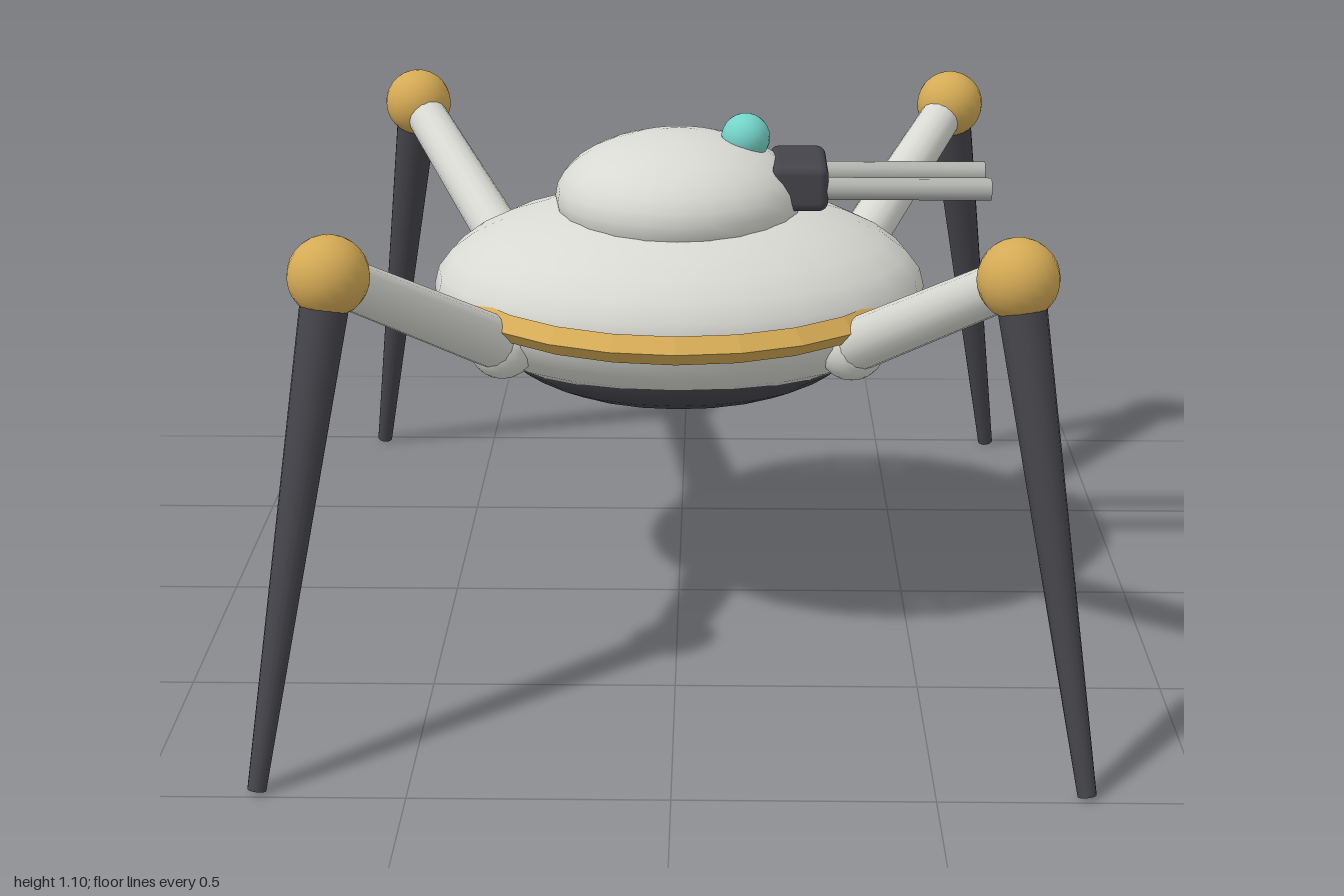
import * as THREE from 'three';
import { RoundedBoxGeometry } from 'three/addons/geometries/RoundedBoxGeometry.js';

function material(name, color, extra = {}) {
  const m = new THREE.MeshStandardMaterial({ color, ...extra });
  m.name = name;
  return m;
}

function part(parent, name, geometry, mat, x = 0, y = 0, z = 0) {
  const mesh = new THREE.Mesh(geometry, mat);
  mesh.name = name;
  mesh.position.set(x, y, z);
  parent.add(mesh);
  return mesh;
}

const ellipsoid = (rx, ry, rz) => new THREE.SphereGeometry(1, 24, 16).scale(rx, ry, rz);

// Tapered rod running from point a (radius ra) to point b (radius rb)
function rod(parent, name, mat, a, b, ra, rb, sides = 16) {
  const dir = b.clone().sub(a);
  const mesh = part(parent, name, new THREE.CylinderGeometry(rb, ra, dir.length(), sides), mat);
  mesh.position.copy(a).add(b).multiplyScalar(0.5);
  mesh.quaternion.setFromUnitVectors(new THREE.Vector3(0, 1, 0), dir.normalize());
  return mesh;
}

export function createModel() {
  const model = new THREE.Group();
  model.name = 'walker';

  const shell = material('pale shell', 0xd8d9d3);
  const dark = material('dark metal', 0x45444a);
  const gold = material('gold', 0xd4aa55);
  const goldTrim = gold.clone();
  goldTrim.flatShading = true;
  const steel = material('barrel steel', 0xb2b4b0);
  const cyan = material('sensor cyan', 0x74d4c8);

  // Hull, belly and turret dome
  part(model, 'hull', ellipsoid(0.53, 0.21, 0.43), shell, 0, 0.715, 0);
  part(model, 'belly', ellipsoid(0.4, 0.145, 0.355), dark, 0, 0.62, 0);
  part(model, 'turretDome', ellipsoid(0.265, 0.14, 0.265), shell, 0, 0.915, 0);

  // Diamond-section ring that surfaces at the front and back of the hull
  const ring = new THREE.TorusGeometry(0.48, 0.03, 4, 24).rotateX(Math.PI / 2);
  part(model, 'trimRing', ring, goldTrim, 0, 0.72, 0);

  // Twin gun and sensor, aimed along +x
  part(model, 'gunMount', new RoundedBoxGeometry(0.12, 0.1, 0.21, 3, 0.02), dark, 0.256, 0.955, 0);
  for (const z of [-0.072, 0.072]) {
    rod(model, 'gunBarrel', steel,
      new THREE.Vector3(0.28, 0.95, z), new THREE.Vector3(0.66, 0.95, z), 0.024, 0.024, 10);
  }
  part(model, 'sensor', new THREE.SphereGeometry(0.052, 20, 14), cyan, 0.142, 1.043, 0);

  // Four mirrored legs
  for (const sx of [-1, 1]) {
    for (const sz of [-1, 1]) {
      const leg = new THREE.Group();
      leg.name = (sz > 0 ? 'front' : 'back') + (sx > 0 ? 'Left' : 'Right') + 'Leg';
      const at = (x, y, z) => new THREE.Vector3(sx * x, y, sz * z);
      const hip = at(0.362, 0.665, 0.275);
      const knee = at(0.642, 0.952, 0.752);
      const foot = at(0.785, 0.004, 0.98);
      part(leg, 'hip', new THREE.SphereGeometry(0.07, 20, 14), shell, ...hip);
      rod(leg, 'upperLeg', shell, hip, knee, 0.056, 0.047);
      part(leg, 'knee', new THREE.SphereGeometry(0.078, 20, 14), gold, ...knee);
      rod(leg, 'lowerLeg', dark, knee, foot, 0.048, 0.018);
      model.add(leg);
    }
  }

  return model;
}
